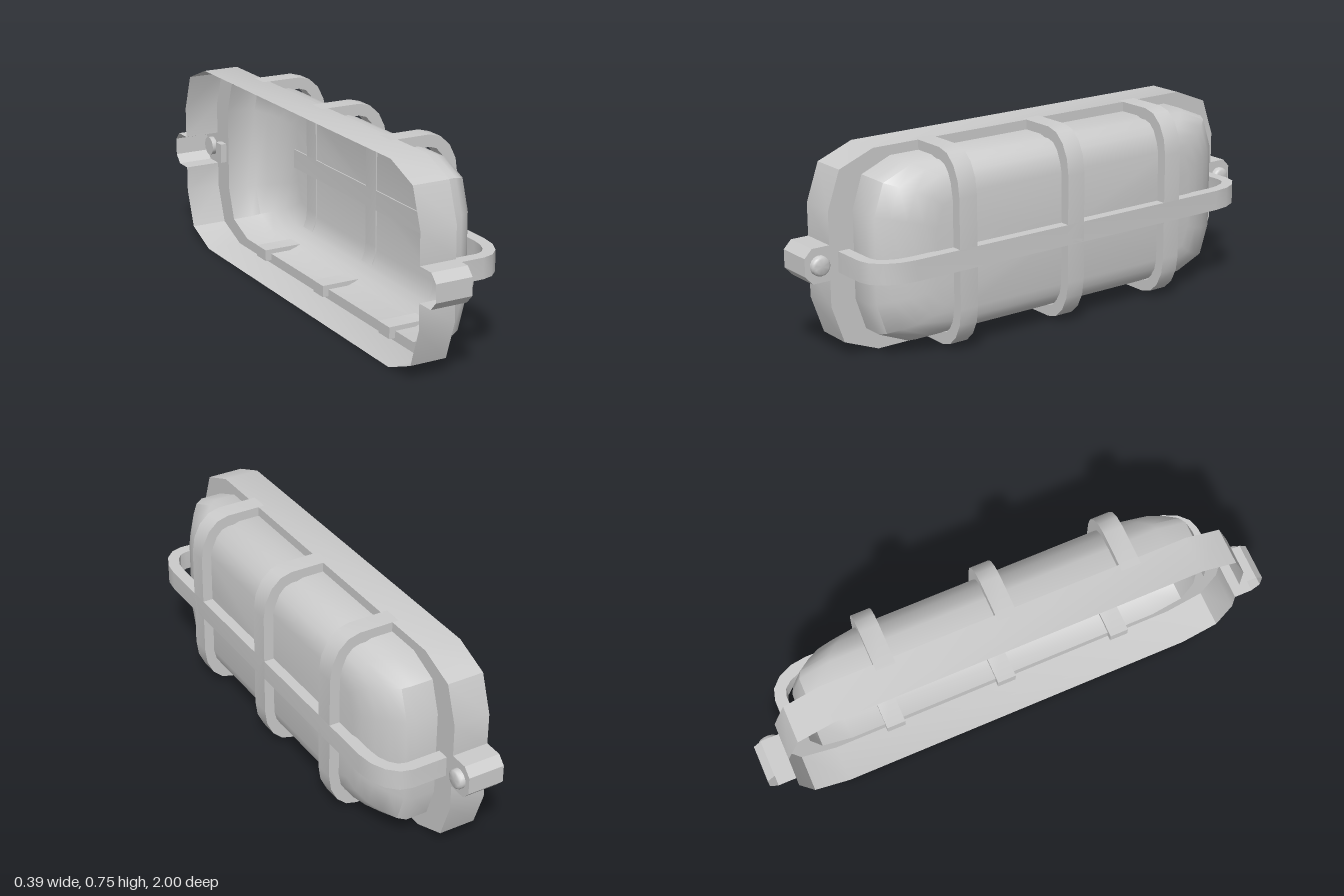
import * as THREE from 'three';
import { toCreasedNormals } from 'three/addons/utils/BufferGeometryUtils.js';

const BACK = -0.197, RIM = -0.055, MID = 0.375;
const material = new THREE.MeshStandardMaterial({ color: 0xcccccc });
const thin = new THREE.MeshStandardMaterial({ color: 0xcccccc, side: THREE.DoubleSide });

// Skin between closed rings of [x, y, z] points, counter-clockwise, back to front
function loft(rings) {
  const n = rings[0].length, index = [];
  for (let r = 0; r < rings.length - 1; r++) {
    for (let i = 0; i < n; i++) {
      const a = r * n + i, b = r * n + (i + 1) % n;
      index.push(a, b, b + n, a, b + n, a + n);
    }
  }
  const g = new THREE.BufferGeometry();
  g.setAttribute('position', new THREE.Float32BufferAttribute(rings.flat(2), 3));
  g.setIndex(index);
  return toCreasedNormals(g, 0.7);
}

// Complete a right-hand outline (bottom to top) with its mirror image
const mirror = (half) => [...half, ...half.slice().reverse().map(([x, y]) => [-x, y])];
const toPoints = (pts) => pts.map(([x, y]) => new THREE.Vector2(x, y));

// Arch with straight legs and elliptical corners, as a point list
function arch(half, top, rx, ry, foot) {
  const right = [[half, foot]];
  for (let i = 0; i <= 4; i++) {
    const a = (i / 4) * Math.PI / 2;
    right.push([half - rx + rx * Math.cos(a), top - ry + ry * Math.sin(a)]);
  }
  return mirror(right);
}

// Cage bar: arch of constant thickness, extruded to its width
function barGeometry(half, rx, ry, width) {
  const t = 0.045, top = 0.195, foot = -0.08;
  const outer = arch(half, top, rx, ry, foot);
  const inner = arch(half - t, top - t, rx - t, ry - t, foot);
  const shape = new THREE.Shape(toPoints([...outer, ...inner.reverse()]));
  const g = new THREE.ExtrudeGeometry(shape, { depth: width, bevelEnabled: false });
  g.translate(0, 0, -width / 2);
  g.rotateX(Math.PI / 2);
  return toCreasedNormals(g, 0.5);
}

export function createModel() {
  const group = new THREE.Group();
  group.name = 'bulkheadLight';
  // Built facing +z, then turned to face +x
  const body = new THREE.Group();
  body.name = 'lightBody';
  body.rotation.y = Math.PI / 2;
  group.add(body);
  const add = (name, geometry, mat = material) => {
    const mesh = new THREE.Mesh(geometry, mat);
    mesh.name = name;
    body.add(mesh);
    return mesh;
  };

  // Housing outline with a mounting lug at each end
  const outline = mirror([
    [0.71, 0], [0.85, 0.056], [0.9, 0.2], [0.9, 0.298], [0.97, 0.298], [1, 0.33],
    [1, 0.397], [0.97, 0.428], [0.9, 0.428], [0.9, 0.55], [0.85, 0.692], [0.71, 0.747],
  ]);
  add('housingWall', loft([BACK, RIM].map((z) => outline.map(([x, y]) => [x, y, z]))), thin);

  // Lens outline, centred on zero
  const lensOutline = mirror([
    [0.64, -0.335], [0.76, -0.285], [0.8, -0.165], [0.8, 0.165], [0.76, 0.285], [0.64, 0.335],
  ]);

  // Front rim between the housing wall and the lens
  const rim = new THREE.Shape(toPoints(outline));
  rim.holes.push(new THREE.Path(toPoints(lensOutline.map(([x, y]) => [x, y + MID]))));
  add('frontRim', new THREE.ShapeGeometry(rim).translate(0, 0, RIM), thin);

  // Domed lens: depth, half length, half height
  const dome = [
    [RIM, 0.8, 0.335], [0.03, 0.8, 0.335], [0.06, 0.785, 0.325], [0.095, 0.74, 0.307],
    [0.125, 0.69, 0.285], [0.145, 0.635, 0.255], [0.155, 0.59, 0.215], [0.155, 0, 0],
  ];
  add('lens', loft(dome.map(([z, hx, hy]) =>
    lensOutline.map(([x, y]) => [x * hx / 0.8, y * hy / 0.335 + MID, z]))), thin);

  // Guard cage: one long bar and three cross bars
  add('longGuardBar', barGeometry(0.865, 0.165, 0.115, 0.078)).position.y = 0.36;
  for (const x of [-0.483, 0, 0.467]) {
    const bar = add('crossGuardBar', barGeometry(0.367, 0.162, 0.118, 0.075).rotateZ(Math.PI / 2));
    bar.position.set(x, 0.38, 0);
  }

  // Rounded screw heads on the lugs
  const screwProfile = toPoints([
    [0, -0.02], [0.037, -0.02], [0.037, 0.012], [0.034, 0.019], [0.027, 0.023], [0, 0.023],
  ]);
  for (const side of [-1, 1]) {
    const g = new THREE.LatheGeometry(screwProfile, 20).rotateX(Math.PI / 2);
    add('lugScrew', toCreasedNormals(g, 0.8)).position.set(side * 0.943, 0.363, RIM);
  }
  return group;
}
